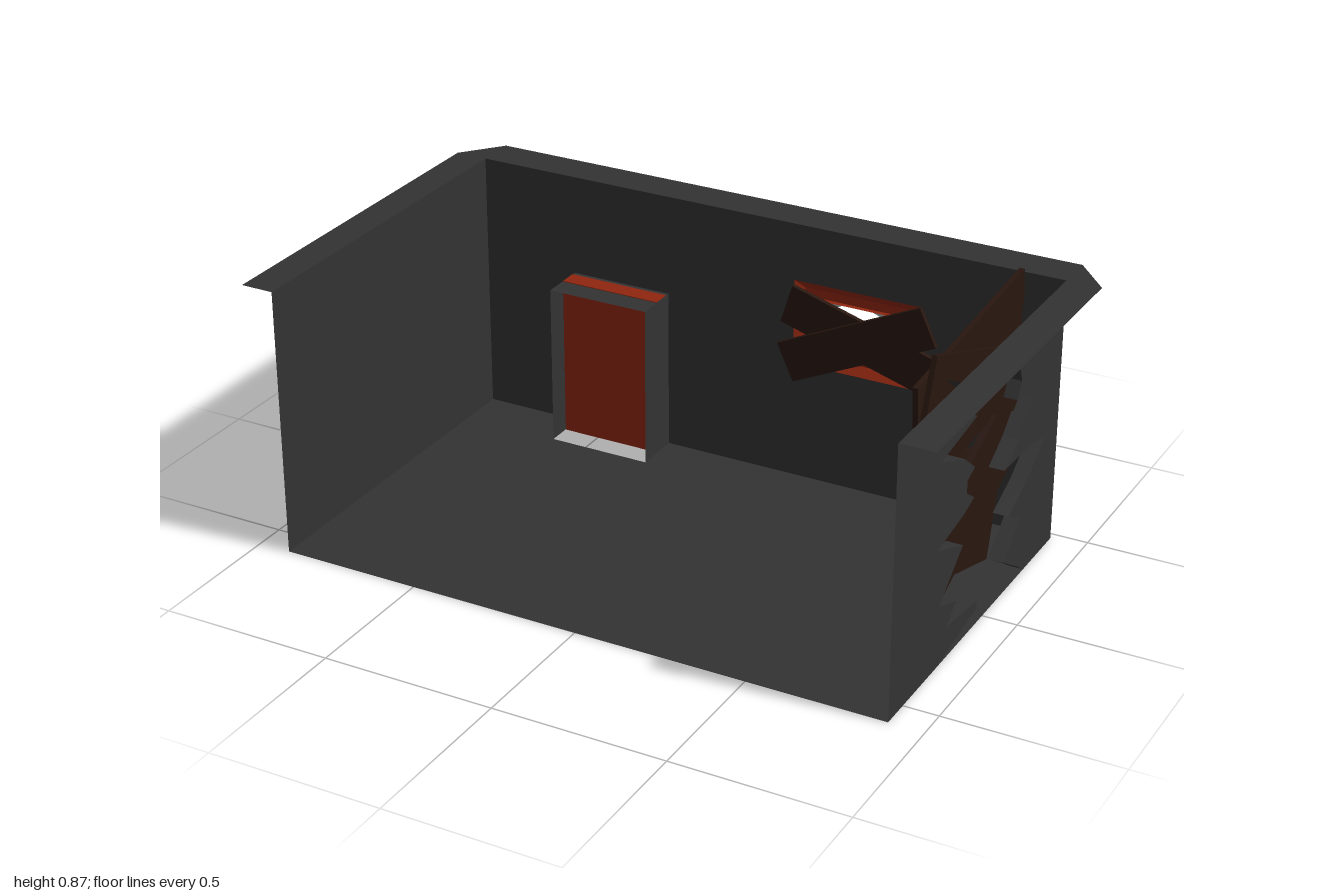
import * as THREE from 'three';

const mat = (color) => new THREE.MeshStandardMaterial({ color, side: THREE.DoubleSide, flatShading: true });
const L = -0.905, R = 0.9, B = -0.475, F = 0.587, H = 0.78;

export function createModel() {
  const model = new THREE.Group();
  const stone = mat(0x333333), red = mat(0x8f2610), wood = mat(0x28160f), glass = mat(0x9fb5b5);

  const add = (name, geometry, material, parent = model) => {
    const mesh = new THREE.Mesh(geometry, material);
    mesh.name = name;
    parent.add(mesh);
    return mesh;
  };
  const group = (name) => {
    const g = new THREE.Group();
    g.name = name;
    model.add(g);
    return g;
  };
  const box = (name, material, x0, x1, y0, y1, z0, z1, parent) => {
    const g = new THREE.BoxGeometry(x1 - x0, y1 - y0, z1 - z0);
    g.translate((x0 + x1) / 2, (y0 + y1) / 2, (z0 + z1) / 2);
    return add(name, g, material, parent);
  };
  const points = (list) => list.map(([x, y]) => new THREE.Vector2(x, y));
  const flat = (list, hole) => {
    const shape = new THREE.Shape(points(list));
    if (hole) shape.holes.push(new THREE.Path(points(hole)));
    return new THREE.ShapeGeometry(shape);
  };
  const rect = (x0, x1, y0, y1) => [[x0, y0], [x1, y0], [x1, y1], [x0, y1]];
  // Skin between successive cross-sections that have the same number of points
  const skin = (sections, closed) => {
    const pos = [];
    for (let s = 0; s + 1 < sections.length; s++) {
      const a = sections[s], b = sections[s + 1], n = a.length;
      for (let i = 0; i < (closed ? n : n - 1); i++) {
        const j = (i + 1) % n;
        pos.push(...a[i], ...a[j], ...b[j], ...a[i], ...b[j], ...b[i]);
      }
    }
    const g = new THREE.BufferGeometry();
    g.setAttribute('position', new THREE.Float32BufferAttribute(pos, 3));
    g.computeVertexNormals();
    return g;
  };

  // Floor, back wall and left wall; the doorway cuts into both floor and wall
  const dL = -0.61, dR = -0.3, dTop = 0.48, dFront = -0.335;
  add('floor', flat([[L, F], [L, B], [dL, B], [dL, dFront], [dR, dFront], [dR, B], [R, B], [R, F]])
    .rotateX(Math.PI / 2), stone);
  add('backWall', flat(
    [[L, 0], [dL, 0], [dL, dTop], [dR, dTop], [dR, 0], [R, 0], [R, H], [L, H]],
    rect(0.1, 0.49, 0.355, 0.61)), stone);
  model.getObjectByName('backWall').position.z = B;
  add('leftWall', flat(rect(B, F, 0, H)).rotateY(-Math.PI / 2), stone).position.x = L;

  // Flat rim around the wall tops, with cut back corners
  add('rim', flat([[-1, F], [-1, B], [L, -0.59], [R, -0.59], [1, B], [1, F], [R, F], [R, B], [L, B], [L, F]])
    .rotateX(Math.PI / 2).translate(0, H, 0), stone);

  // Right wall in two pieces around a jagged breach, given as [z, y] from top to bottom
  const frontEdge = [[0.22, H], [0.13, 0.71], [0.14, 0.66], [0.1, 0.635], [0.32, 0.605], [0.17, 0.545],
    [0.1, 0.49], [0.145, 0.47], [0.145, 0.435], [0.095, 0.4], [0.16, 0.38], [0.32, 0.355], [0.155, 0.29],
    [0.295, 0.18], [0.18, 0.14], [0.24, 0.093], [0.045, 0.068], [0.04, 0.045], [0.31, 0]];
  const rearEdge = [[-0.283, H], [-0.283, 0.7], [-0.175, 0.655], [-0.195, 0.605], [-0.17, 0.56],
    [-0.285, 0.52], [-0.19, 0.435], [-0.105, 0.383], [-0.28, 0.38], [-0.385, 0.355], [-0.265, 0.275],
    [-0.15, 0.225], [-0.24, 0.18], [-0.13, 0.095], [-0.24, 0.027], [-0.28, 0]];
  const rightWall = group('rightWall');
  [['front', frontEdge, F], ['rear', rearEdge, B]].forEach(([side, edge, end]) => {
    add(side + 'WallPiece', flat([...edge, [end, 0], [end, H]]).rotateY(-Math.PI / 2), stone, rightWall)
      .position.x = R;
    const at = (x) => edge.map(([z, y]) => [x, y, z]);
    add(side + 'BreachEdge', skin([at(R), at(0.855)], false), stone, rightWall);
  });

  // Planks over the breach: x, y, z, length, width, thickness, slope in degrees rising to the rear
  const breachPlanks = group('breachPlanks');
  [[0.828, 0.657, -0.015, 0.67, 0.34, 0.015, 5],
    [0.853, 0.67, -0.005, 0.67, 0.18, 0.015, -20],
    [0.797, 0.267, -0.017, 0.565, 0.34, 0.022, -16],
    [0.838, 0.32, -0.02, 0.6, 0.23, 0.02, 24]].forEach(([x, y, z, len, w, t, a]) => {
    const plank = add('breachPlank', new THREE.BoxGeometry(t, w, len), wood, breachPlanks);
    plank.position.set(x, y, z);
    plank.rotation.x = THREE.MathUtils.degToRad(a);
  });

  // Door in a thin tunnel, with a square knob outside
  const door = group('door');
  const arch = (z) => [[dL, 0, z], [dL, dTop, z], [dR, dTop, z], [dR, 0, z]];
  add('doorSurround', skin([arch(B), arch(dFront)], false), stone, door);
  box('doorPanel', red, dL + 0.001, dR - 0.001, 0, dTop + 0.002, -0.46, -0.405, door);
  box('doorKnob', red, -0.41, -0.35, 0.21, 0.27, -0.495, -0.46, door);

  // Window frame tapering outward, broken glass and two crossed planks
  const win = group('window');
  const loop = (z, ...r) => rect(...r).map(([x, y]) => [x, y, z]);
  add('windowFrame', skin([loop(B, 0.1, 0.49, 0.355, 0.61), loop(-0.495, 0.125, 0.465, 0.38, 0.585),
    loop(-0.495, 0.145, 0.445, 0.405, 0.56), loop(-0.48, 0.145, 0.445, 0.405, 0.56)], true), red, win);
  [[[0.145, 0.56], [0.145, 0.46], [0.19, 0.53], [0.25, 0.56]],
    [[0.445, 0.56], [0.33, 0.56], [0.4, 0.53], [0.445, 0.47]],
    [[0.145, 0.405], [0.24, 0.405], [0.18, 0.43], [0.145, 0.45]],
    [[0.445, 0.405], [0.445, 0.46], [0.4, 0.43], [0.36, 0.44], [0.3, 0.405]]].forEach((shard) => {
    add('glassShard', flat(shard), glass, win).position.z = -0.487;
  });
  [[0.313, 0.475, -0.435, 0.475, 24.9], [0.313, 0.477, -0.458, 0.47, -16.6]].forEach(([x, y, z, len, a]) => {
    const plank = add('windowPlank', new THREE.BoxGeometry(len, 0.12, 0.014), wood, win);
    plank.position.set(x, y, z);
    plank.rotation.z = THREE.MathUtils.degToRad(a);
  });

  return model;
}
